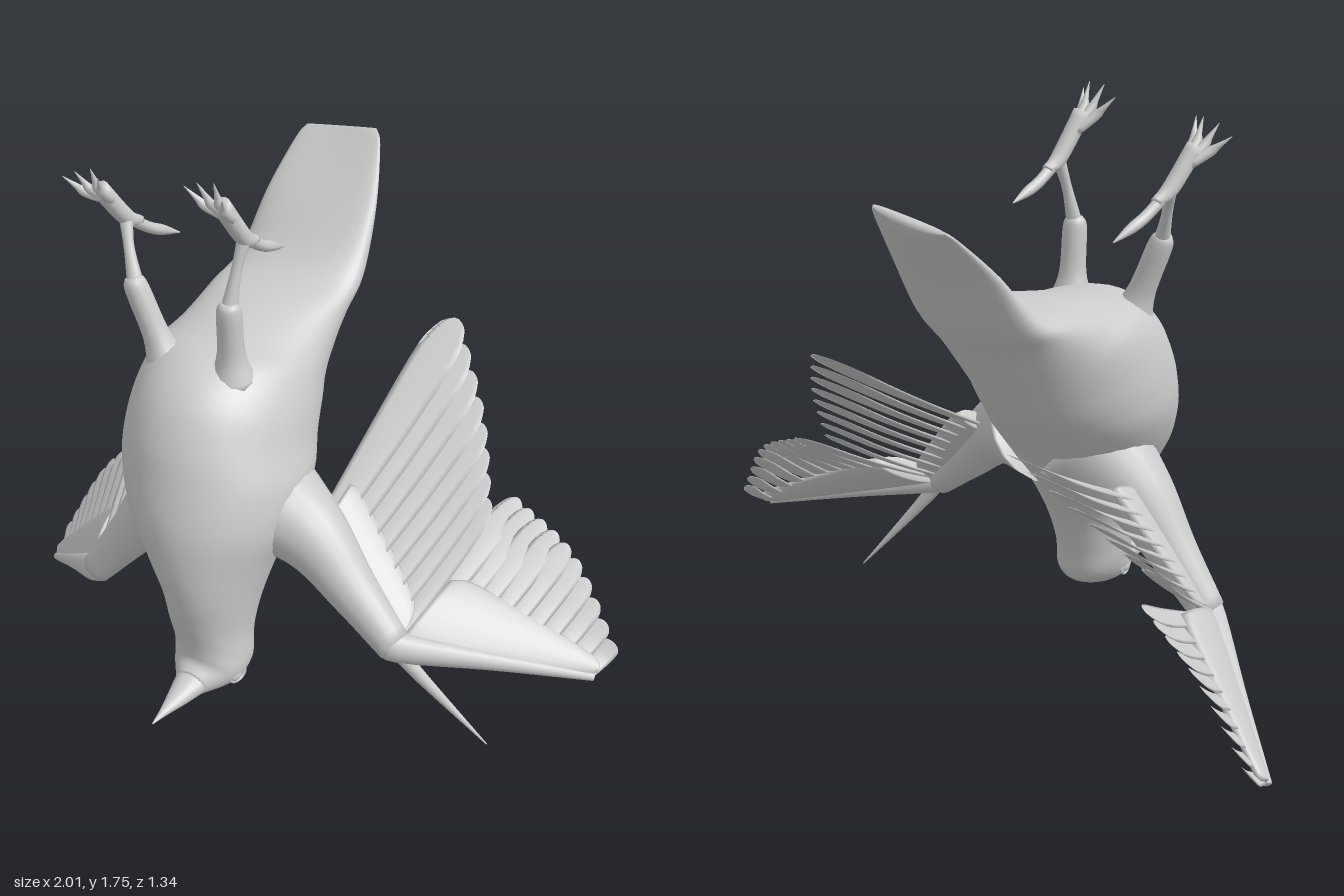
import * as THREE from 'three';

const V = (x, y, z) => new THREE.Vector3(x, y, z);
const mix = (a, b, t) => a.clone().lerp(b, t);
const mat = new THREE.MeshStandardMaterial({ color: 0xcccccc, roughness: 0.8 });

function add(parent, name, geometry) {
  const mesh = new THREE.Mesh(geometry, mat);
  mesh.name = name;
  parent.add(mesh);
  return mesh;
}

// Smooth skin over elliptical rings {c: centre, u, v: half axes, bend: curl along u}
function loft(keys, steps, sides) {
  const curve = (f) => new THREE.CatmullRomCurve3(keys.map(f), false, 'catmullrom', 0.5);
  const cs = curve((k) => k.c), us = curve((k) => k.u), vs = curve((k) => k.v);
  const bs = curve((k) => V(k.bend || 0, 0, 0));
  const mid = keys[keys.length >> 1];
  const ahead = keys[(keys.length >> 1) - 1];
  const sign = mid.u.clone().cross(mid.v).dot(mid.c.clone().sub(ahead.c)) < 0 ? -1 : 1;
  const pos = [], index = [];
  for (let i = -1; i <= steps + 1; i++) {
    const t = THREE.MathUtils.clamp(i / steps, 0, 1);
    const shrink = i < 0 || i > steps ? 0.001 : 1;
    const c = cs.getPoint(t), u = us.getPoint(t), v = vs.getPoint(t), b = bs.getPoint(t).x;
    const n = u.clone().normalize();
    for (let j = 0; j < sides; j++) {
      const a = (j / sides) * Math.PI * 2, s = Math.sin(a) * sign;
      const p = c.clone().addScaledVector(u, Math.cos(a) * shrink)
        .addScaledVector(v, s * shrink).addScaledVector(n, b * s * s * shrink);
      pos.push(p.x, p.y, p.z);
      if (i <= steps) {
        const k = (j + 1) % sides, r = (i + 1) * sides;
        index.push(r + j, r + k, r + sides + k, r + j, r + sides + k, r + sides + j);
      }
    }
  }
  const g = new THREE.BufferGeometry();
  g.setAttribute('position', new THREE.Float32BufferAttribute(pos, 3));
  g.setIndex(index);
  g.computeVertexNormals();
  return g;
}

// Round limb through points with a radius at each
function limb(points, radii, steps = 14, sides = 12) {
  const d = points[points.length - 1].clone().sub(points[0]).normalize();
  const u = d.clone().cross(Math.abs(d.x) < 0.8 ? V(1, 0, 0) : V(0, 1, 0)).normalize();
  const v = d.clone().cross(u);
  return loft(points.map((c, i) => ({
    c, u: u.clone().multiplyScalar(radii[i]), v: v.clone().multiplyScalar(radii[i]),
  })), steps, sides);
}

// Body ring from a belly point and a back point (y, z), centre x and half width
const ring = ([by, bz, dy, dz, x, w, roll = 0, bend = 0]) => ({
  c: V(x, (by + dy) / 2, (bz + dz) / 2),
  u: V(0, (by - dy) / 2, (bz - dz) / 2),
  v: V(w, roll, 0), bend,
});

// Thin rounded feather whose blade spreads along the across direction
function feather(base, tip, across, width) {
  const d = tip.clone().sub(base).normalize();
  const face = d.clone().cross(across).normalize();
  const side = face.clone().cross(d);
  const profile = [[0, 0.5], [0.3, 0.75], [0.6, 0.95], [0.85, 1], [0.95, 0.72], [0.985, 0.42], [1, 0.12]];
  return loft(profile.map(([t, k]) => ({
    c: mix(base, tip, t).addScaledVector(face, 0.012 * Math.sin(t * Math.PI)),
    u: face.clone().multiplyScalar(0.006 * (1.2 - t)),
    v: side.clone().multiplyScalar(width * k / 2),
  })), 18, 8);
}

// Tapered covert plate between a leading line and a fraction of the feather length
function plate(a0, a1, b0, b1, frac, thick) {
  const keys = [0, 0.12, 0.5, 0.85, 0.97, 1].map((t, i) => {
    const lead = mix(a0, a1, t), rear = mix(lead, mix(b0, b1, t), frac);
    const v = rear.clone().sub(lead).multiplyScalar(0.5 * [0.85, 1.05, 1.1, 1.05, 0.85, 0.4][i]);
    const n = v.clone().cross(a1.clone().sub(a0)).normalize();
    return { c: mix(lead, rear, 0.45), u: n.multiplyScalar(thick * (1 - 0.55 * t)), v };
  });
  return loft(keys, 20, 16);
}

function buildWing(name, s) {
  const wing = new THREE.Group();
  wing.name = name;
  add(wing, 'upperArm', limb([s.root, s.shoulder, mix(s.shoulder, s.wrist, 0.5), s.wrist],
    [0.165, 0.105, 0.072, 0.05], 18, 18));
  add(wing, 'handEdge', limb([mix(s.wrist, s.shoulder, 0.1), s.wrist, mix(s.wrist, s.tip, 0.5), s.tip],
    [0.035, 0.045, 0.026, 0.012]));
  add(wing, 'armCoverts', plate(s.shoulder, s.wrist, s.armTips[0], s.armTips[2], 0.27, 0.028));
  add(wing, 'handCoverts', plate(s.wrist, s.tip, s.handTips[0], s.handTips[2], 0.5, 0.032));
  // Label, base line, tips, count, widths, share of sideways spread
  const rows = [['armFeather', s.shoulder, s.wrist, s.armTips, 8, 0.13, 0.085, 0.85],
    ['handFeather', s.wrist, s.tip, s.handTips, 10, 0.085, 0.065, 0.4]];
  for (const [label, from, to, tips, count, w0, w1, level] of rows) {
    const edge = new THREE.CatmullRomCurve3(tips);
    const span = to.clone().sub(from).normalize();
    const across = mix(span.multiplyScalar(Math.sign(span.x)), V(1, 0, 0), level);
    for (let i = 0; i < count; i++) {
      const t = i / (count - 1);
      const base = mix(from, to, 0.03 + 0.93 * t);
      add(wing, label, feather(base, edge.getPoint(t), across, w0 + (w1 - w0) * t));
    }
  }
  return wing;
}

function buildLeg(name, hip, ankle, foot, toeTips, hindTip) {
  const leg = new THREE.Group();
  leg.name = name;
  add(leg, 'thigh', limb([hip, mix(hip, ankle, 0.35), mix(hip, ankle, 0.88), ankle],
    [0.07, 0.04, 0.035, 0.022]));
  add(leg, 'shank', limb([mix(ankle, hip, 0.1), mix(ankle, foot, 0.5), foot], [0.024, 0.015, 0.02]));
  // Sole where the toes join, then the toes with their claws
  const toeMid = mix(toeTips[1], toeTips[2], 0.5);
  add(leg, 'sole', limb([mix(foot, hindTip, 0.25), foot, mix(foot, toeMid, 0.6)], [0.016, 0.024, 0.026]));
  for (const tip of toeTips) {
    const root = mix(foot, mix(toeMid, tip, 0.4), 0.4);
    const knuckle = mix(foot, mix(toeMid, tip, 0.7), 0.68).add(V(0, -0.005, 0.012));
    add(leg, 'toe', limb([root, knuckle, mix(knuckle, tip, 0.4), tip], [0.014, 0.014, 0.008, 0.001], 12, 8));
  }
  add(leg, 'hindToe', limb([foot, mix(foot, hindTip, 0.4).add(V(0, -0.012, 0)),
    mix(foot, hindTip, 0.68).add(V(0, -0.008, 0)), hindTip], [0.018, 0.016, 0.015, 0.002], 12, 8));
  return leg;
}

export function createModel() {
  const bird = new THREE.Group();
  bird.name = 'bird';

  // Head, trunk and curled tail
  add(bird, 'body', loft([
    [0.325, 0.49, 0.25, 0.49, -0.035, 0.045],
    [0.345, 0.465, 0.235, 0.4, -0.035, 0.085],
    [0.37, 0.46, 0.237, 0.32, -0.035, 0.105],
    [0.41, 0.463, 0.275, 0.24, -0.04, 0.113],
    [0.47, 0.475, 0.37, 0.215, -0.05, 0.118],
    [0.56, 0.49, 0.48, 0.17, -0.055, 0.135],
    [0.66, 0.497, 0.6, 0.09, -0.075, 0.18],
    [0.78, 0.49, 0.71, 0, -0.1, 0.24],
    [0.9, 0.46, 0.81, -0.1, -0.125, 0.27],
    [1.02, 0.42, 0.87, -0.165, -0.145, 0.262],
    [1.13, 0.35, 0.93, -0.22, -0.155, 0.25],
    [1.2, 0.24, 0.98, -0.26, -0.165, 0.235],
    [1.21, 0.1, 1.04, -0.31, -0.17, 0.22],
    [1.235, -0.08, 1.12, -0.37, -0.175, 0.21],
    [1.26, -0.27, 1.2, -0.44, -0.175, 0.205, 0.01, 0.01],
    [1.395, -0.455, 1.355, -0.545, -0.19, 0.185, 0.015, 0.02],
    [1.51, -0.61, 1.48, -0.645, -0.215, 0.145, 0.02, 0.015],
    [1.54, -0.65, 1.525, -0.67, -0.225, 0.12, 0.02, 0.005],
  ].map(ring), 85, 40));

  // Beak and eyes
  add(bird, 'beak', loft([
    [0.33, 0.47, 0.25, 0.47, -0.035, 0.053],
    [0.305, 0.55, 0.256, 0.55, -0.035, 0.032],
    [0.288, 0.61, 0.262, 0.61, -0.036, 0.015],
    [0.272, 0.67, 0.268, 0.67, -0.037, 0.002],
  ].map(ring), 16, 20));
  for (const side of [-1, 1]) {
    const eye = add(bird, 'eye', new THREE.SphereGeometry(0.026, 18, 12));
    eye.position.set(-0.035 + side * 0.09, 0.292, 0.385);
    eye.scale.set(0.6, 0.8, 1.1);
    const lid = add(bird, 'eyelid', new THREE.TorusGeometry(0.028, 0.007, 8, 24));
    lid.position.set(-0.035 + side * 0.094, 0.292, 0.385);
    lid.rotation.y = Math.PI / 2 - side * 0.25;
    lid.scale.y = 0.8;
  }

  // Wings, each in its own pose
  const left = buildWing('leftWing', {
    root: V(0.02, 0.75, 0.16), shoulder: V(0.2, 0.705, 0.19), wrist: V(0.49, 0.475, 0.24), tip: V(0.97, 0.37, -0.05),
    armTips: [V(0.25, 1.08, -0.53), V(0.42, 0.9, -0.37), V(0.53, 0.72, -0.22)],
    handTips: [V(0.6, 0.71, -0.28), V(0.8, 0.63, -0.23), V(0.98, 0.44, -0.14)],
  });
  add(left, 'thumbFeather', limb([V(0.48, 0.48, 0.24), V(0.56, 0.375, 0.21), V(0.74, 0.155, 0.135)],
    [0.025, 0.018, 0.002]));
  bird.add(left);
  bird.add(buildWing('rightWing', {
    root: V(-0.17, 0.76, 0.14), shoulder: V(-0.34, 0.62, 0.17), wrist: V(-0.57, 0.315, 0.2), tip: V(-0.97, 0.025, -0.09),
    armTips: [V(-0.49, 0.95, -0.56), V(-0.59, 0.77, -0.4), V(-0.66, 0.59, -0.22)],
    handTips: [V(-0.7, 0.5, -0.28), V(-0.86, 0.34, -0.26), V(-0.98, 0.1, -0.2)],
  }));

  // Legs
  bird.add(buildLeg('leftLeg', V(-0.06, 1.14, 0.2), V(-0.06, 1.39, 0.215), V(-0.045, 1.56, 0.155),
    [V(-0.155, 1.73, 0.27), V(-0.1, 1.76, 0.29), V(-0.055, 1.765, 0.28), V(-0.01, 1.74, 0.31)],
    V(-0.035, 1.46, -0.03)));
  bird.add(buildLeg('rightLeg', V(-0.27, 1.12, 0.2), V(-0.375, 1.38, 0.215), V(-0.435, 1.52, 0.15),
    [V(-0.55, 1.66, 0.27), V(-0.5, 1.69, 0.28), V(-0.455, 1.705, 0.27), V(-0.41, 1.7, 0.3)],
    V(-0.395, 1.4, -0.045)));
  return bird;
}
